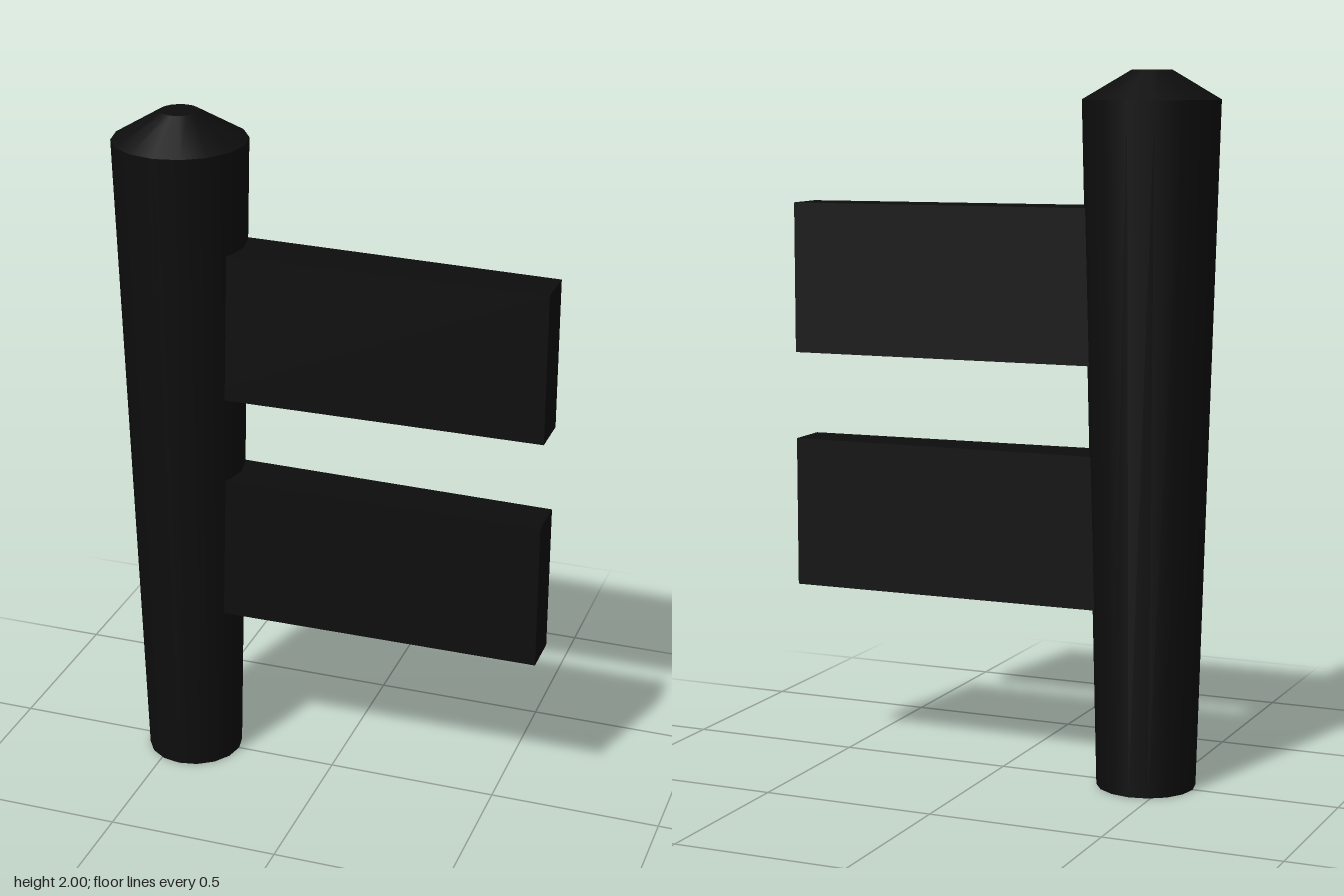
import * as THREE from 'three';

const SIDES = 16;
const POST_X = -0.44;

export function createModel() {
  const group = new THREE.Group();
  const material = new THREE.MeshStandardMaterial({ color: 0x0d0d0d });

  const add = (name, geometry, x, y) => {
    const mesh = new THREE.Mesh(geometry, material);
    mesh.name = name;
    mesh.position.set(x, y, 0);
    group.add(mesh);
  };

  // Post widens towards the top, with a blunt conical cap
  add('post', new THREE.CylinderGeometry(0.19, 0.14, 1.92, SIDES), POST_X, 0.96);
  add('postCap', new THREE.CylinderGeometry(0.055, 0.19, 0.08, SIDES), POST_X, 1.96);

  // Sign board: thicker at the post, thinner and slightly lower at the free end
  const board = (name, y, rootHalf) => {
    const x0 = POST_X + 0.06, x1 = 0.63;
    const geometry = new THREE.BoxGeometry(x1 - x0, 0.434, 2);
    const p = geometry.attributes.position;
    for (let i = 0; i < p.count; i++) {
      const atEnd = p.getX(i) > 0;
      p.setZ(i, p.getZ(i) * (atEnd ? 0.063 : rootHalf));
      p.setY(i, p.getY(i) + (atEnd ? -0.003 : 0.003));
    }
    geometry.computeVertexNormals();
    add(name, geometry, (x0 + x1) / 2, y);
  };
  board('upperBoard', 1.406, 0.082);
  board('lowerBoard', 0.719, 0.076);

  return group;
}
